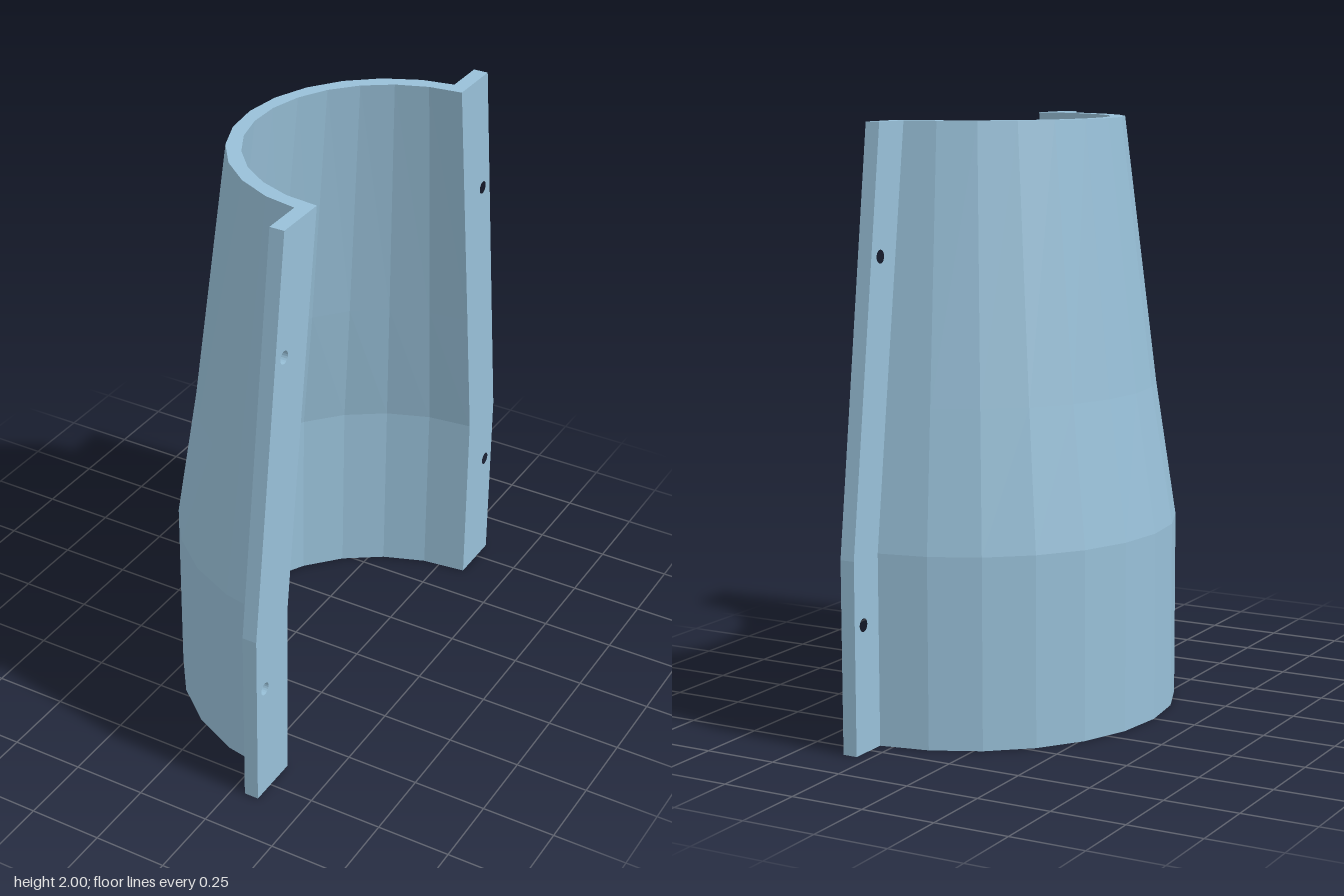
import * as THREE from 'three';

const AXIS_X = 0.345;              // centre line of the half shell, also the flange face
const THICK = 0.05;                // flange thickness
// levels: height, outer radius, inner radius, flattening of the back
const LEVELS = [
  { y: 0, outer: 0.695, inner: 0.64, dent: 0 },
  { y: 0.635, outer: 0.695, inner: 0.64, dent: 0 },
  { y: 1.1, outer: 0.635, inner: 0.582, dent: 0.013 },
  { y: 2, outer: 0.515, inner: 0.466, dent: 0 },
];
const OUTER = { key: 'outer', segments: 12, end: THREE.MathUtils.degToRad(86.4) };
const INNER = { key: 'inner', segments: 13, end: Math.PI / 2 };

// one faceted arc at a level
function arc(side, level) {
  const points = [];
  for (let i = 0; i <= side.segments; i++) {
    const a = side.end * (2 * i / side.segments - 1);
    const r = level[side.key] - level.dent * Math.cos(a) ** 2;
    points.push(new THREE.Vector3(AXIS_X - r * Math.cos(a), level.y, r * Math.sin(a)));
  }
  return points;
}

// faceted wall through all arcs
function wall(side, inward) {
  const rings = LEVELS.map((level) => arc(side, level));
  const points = [];
  for (let j = 0; j < rings.length - 1; j++) {
    for (let i = 0; i < side.segments; i++) {
      const a = rings[j][i], b = rings[j][i + 1];
      const c = rings[j + 1][i + 1], d = rings[j + 1][i];
      points.push(...(inward ? [a, c, b, a, d, c] : [a, b, c, a, c, d]));
    }
  }
  const geometry = new THREE.BufferGeometry().setFromPoints(points);
  geometry.computeVertexNormals();
  return geometry;
}

// flat rim closing the gap between both walls
function rim(level, up) {
  const outline = [...arc(OUTER, level), ...arc(INNER, level).reverse()];
  const shape = new THREE.Shape(outline.map((p) => new THREE.Vector2(p.x, up ? -p.z : p.z)));
  return new THREE.ShapeGeometry(shape)
    .rotateX(up ? -Math.PI / 2 : Math.PI / 2)
    .translate(0, level.y, 0);
}

// tapered bolting flange with two holes
function flange(s) {
  const shape = new THREE.Shape([
    [0.64, 0], [0.83, 0], [0.83, 0.635], [0.652, 2], [0.466, 2], [0.582, 1.1], [0.64, 0.635],
  ].map(([z, y]) => new THREE.Vector2(s * z, y)));
  for (const [z, y] of [[0.78, 0.42], [0.655, 1.58]]) {
    shape.holes.push(new THREE.Path().absarc(s * z, y, 0.022, 0, Math.PI * 2, true));
  }
  return new THREE.ExtrudeGeometry(shape, { depth: THICK, bevelEnabled: false, curveSegments: 10 })
    .rotateY(-Math.PI / 2)
    .translate(AXIS_X, 0, 0);
}

export function createModel() {
  const model = new THREE.Group();
  model.name = 'halfShellCover';
  const material = new THREE.MeshStandardMaterial({ color: 0x98c0d8, flatShading: true });
  const add = (name, geometry) => {
    const mesh = new THREE.Mesh(geometry, material);
    mesh.name = name;
    model.add(mesh);
  };

  // curved shell
  add('outerWall', wall(OUTER, false));
  add('innerWall', wall(INNER, true));
  add('bottomRim', rim(LEVELS[0], false));
  add('topRim', rim(LEVELS[LEVELS.length - 1], true));

  // flanges along both open edges
  add('frontFlange', flange(1));
  add('backFlange', flange(-1));
  return model;
}
